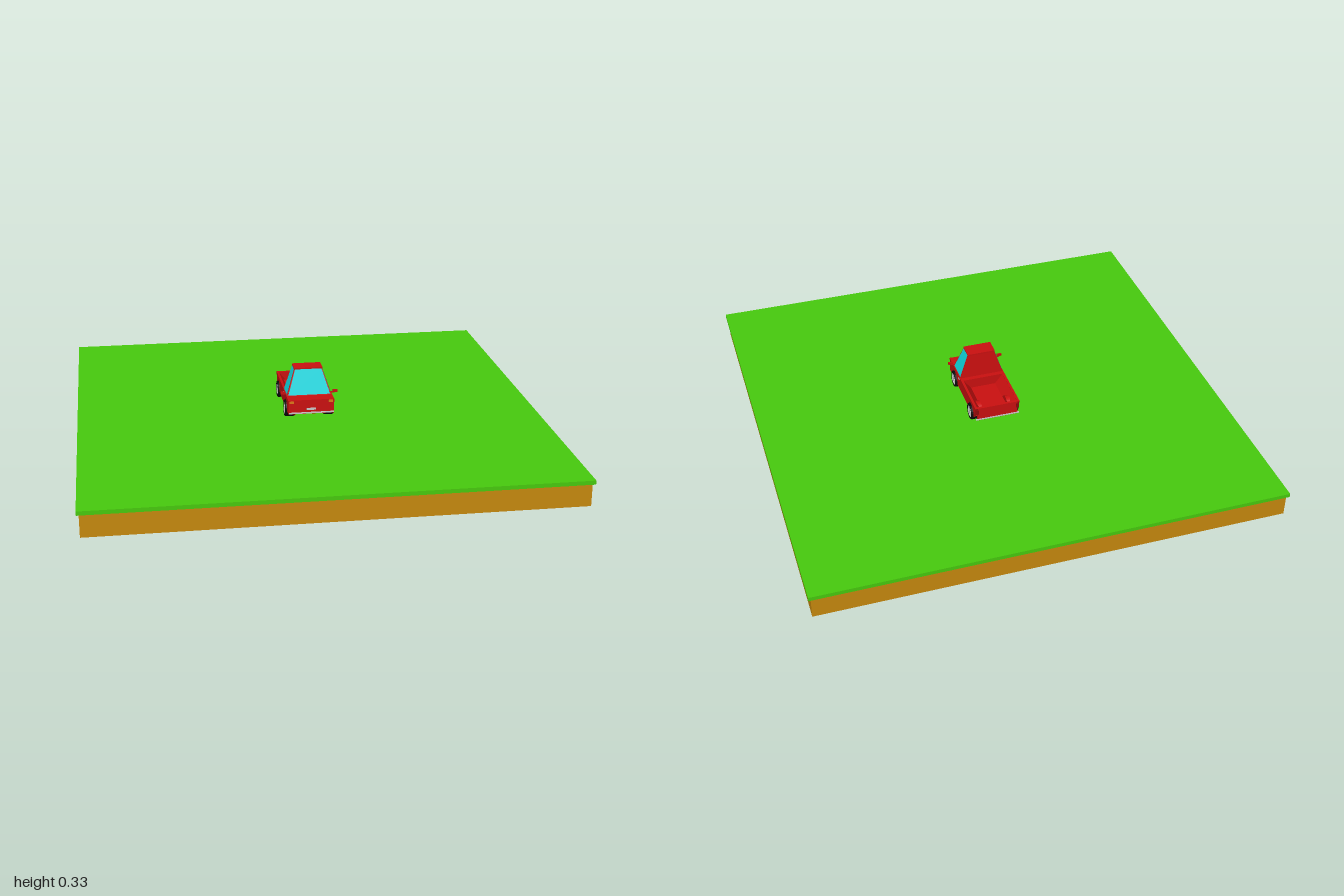
import * as THREE from 'three';

const mat = (color, side = THREE.FrontSide) =>
  new THREE.MeshStandardMaterial({ color, side, flatShading: true });

export function createModel() {
  const model = new THREE.Group();
  const red = mat(0xcc1010), redThin = mat(0xcc1010, THREE.DoubleSide);
  const glass = mat(0x10d8e0, THREE.DoubleSide);
  const black = mat(0x0a0a0a), grey = mat(0xcccccc), orange = mat(0xe07818);
  const lampRed = mat(0x900808);

  const add = (name, geometry, material, parent = model) => {
    const mesh = new THREE.Mesh(geometry, material);
    mesh.name = name;
    parent.add(mesh);
    return mesh;
  };
  const box = (name, w, h, d, x, y, z, material, parent = model) => {
    const mesh = add(name, new THREE.BoxGeometry(w, h, d), material, parent);
    mesh.position.set(x, y, z);
    return mesh;
  };
  // four-cornered panel
  const quad = (name, corners, material, parent) => {
    const geometry = new THREE.BufferGeometry();
    geometry.setAttribute('position', new THREE.Float32BufferAttribute(corners.flat(), 3));
    geometry.setIndex([0, 1, 2, 0, 2, 3]);
    geometry.computeVertexNormals();
    return add(name, geometry, material, parent);
  };

  // ground slab
  box('soil', 1.98, 0.095, 1.98, 0, 0.0475, 0, mat(0xc88a0e));
  box('grass', 2, 0.017, 2, 0, 0.1035, 0, mat(0x48cc0e));

  const truck = new THREE.Group();
  truck.name = 'pickupTruck';
  model.add(truck);

  const low = 0.147, high = 0.21, axleY = 0.15, axles = [0.12, -0.13];

  // body sides with wheel arches, drawn in (z, y)
  const side = new THREE.Shape();
  const arch = 0.041, dip = Math.asin((low - axleY) / arch);
  side.moveTo(-0.2, low);
  for (const z of [...axles].reverse()) side.absarc(z, axleY, arch, Math.PI - dip, dip, true);
  side.lineTo(0.2, low);
  side.lineTo(0.2, high);
  side.lineTo(-0.2, high);
  for (const s of [-1, 1]) {
    const panel = add('bodySide', new THREE.ExtrudeGeometry(side, { depth: 0.01, bevelEnabled: false, curveSegments: 12 }), red, truck);
    panel.rotation.y = -Math.PI / 2;
    panel.scale.z = 1;
    // the shape's x axis becomes +z, the depth runs towards -x
    panel.position.x = s > 0 ? 0.1 : -0.09;
  }

  // front block, cab floor, bed floor and end walls
  box('frontBlock', 0.11, high - low, 0.185, 0, (low + high) / 2, 0.1065, red, truck);
  box('hood', 0.18, 0.012, 0.185, 0, high - 0.006, 0.1065, red, truck);
  box('nose', 0.18, high - low, 0.025, 0, (low + high) / 2, 0.1865, red, truck);
  box('bedFrontWall', 0.18, high - low, 0.014, 0, (low + high) / 2, 0.021, red, truck);
  box('bedFloor', 0.115, 0.012, 0.21, 0, 0.159, -0.09, red, truck);
  box('tailgate', 0.18, high - low, 0.012, 0, (low + high) / 2, -0.194, red, truck);

  for (const s of [-1, 1]) {
    // sloping bed lining and the wheel housing inside it
    quad('bedLining', [[s * 0.056, 0.165, -0.19], [s * 0.056, 0.165, 0.015], [s * 0.091, high, 0.015], [s * 0.091, high, -0.19]], redThin, truck);
    const well = add('wheelHousing', new THREE.CylinderGeometry(0.041, 0.041, 0.034, 20, 1, false, 0, Math.PI), redThin, truck);
    well.rotation.z = Math.PI / 2;
    well.position.set(s * 0.074, axleY, axles[1]);
  }

  // tapered cab
  const corner = (x, top, front) => top
    ? [x * 0.06, 0.322, front ? 0.106 : 0.042]
    : [x * 0.097, high, front ? 0.14 : 0.034];
  const cab = new THREE.BoxGeometry(2, 2, 2);
  const p = cab.attributes.position;
  for (let i = 0; i < p.count; i++) p.setXYZ(i, ...corner(p.getX(i), p.getY(i) > 0, p.getZ(i) > 0));
  cab.computeVertexNormals();
  add('cab', cab, red, truck);
  box('roof', 0.124, 0.007, 0.068, 0, 0.322, 0.074, red, truck);

  // windows: inset copies of the cab faces, lifted slightly
  const pane = (name, a, b, c, d, insetU, insetV) => {
    const [A, B, C, D] = [a, b, c, d].map((v) => new THREE.Vector3(...v));
    const n = B.clone().sub(A).cross(D.clone().sub(A)).normalize().multiplyScalar(0.0012);
    const at = (u, v) => A.clone().lerp(B, u).lerp(D.clone().lerp(C, u), v).add(n).toArray();
    const u = insetU, v = insetV;
    quad(name, [at(u, v), at(1 - u, v), at(1 - u, 1 - v), at(u, 1 - v)], glass, truck);
  };
  pane('windshield', corner(-1, false, true), corner(1, false, true), corner(1, true, true), corner(-1, true, true), 0.025, 0.02);
  pane('leftWindow', corner(1, false, true), corner(1, false, false), corner(1, true, false), corner(1, true, true), 0.06, 0.02);
  pane('rightWindow', corner(-1, false, false), corner(-1, false, true), corner(-1, true, true), corner(-1, true, false), 0.06, 0.02);

  // mirrors, handles and lamps
  for (const s of [-1, 1]) {
    box('mirrorArm', 0.024, 0.004, 0.005, s * 0.1, 0.219, 0.136, red, truck);
    box('mirror', 0.02, 0.011, 0.007, s * 0.114, 0.225, 0.138, red, truck);
    box('doorHandle', 0.003, 0.004, 0.014, s * 0.101, 0.199, 0.05, grey, truck);
    box('headlamp', 0.018, 0.01, 0.003, s * 0.085, 0.201, 0.2, orange, truck);
    box('tailLamp', 0.012, 0.022, 0.003, s * 0.09, 0.19, -0.2, lampRed, truck);
  }
  box('frontBumper', 0.196, 0.006, 0.004, 0, 0.152, 0.2, grey, truck);
  box('rearBumper', 0.196, 0.006, 0.004, 0, 0.152, -0.2, grey, truck);
  box('frontPlate', 0.04, 0.009, 0.003, 0, 0.169, 0.2, grey, truck);

  // wheels: hollow-faced tyre with a spoked rim
  const tyre = [[0.001, -0.022], [0.034, -0.022], [0.037, -0.018], [0.037, 0.018], [0.034, 0.022], [0.027, 0.022], [0.025, 0.014], [0.001, 0.014]]
    .map(([r, y]) => new THREE.Vector2(r, y));
  for (const s of [-1, 1]) for (const z of axles) {
    const wheel = new THREE.Group();
    wheel.name = 'wheel';
    wheel.position.set(s * 0.085, axleY, z);
    wheel.rotation.z = -s * Math.PI / 2;
    truck.add(wheel);
    add('tyre', new THREE.LatheGeometry(tyre, 24), mat(0x0a0a0a, THREE.DoubleSide), wheel);
    const rim = add('rim', new THREE.TorusGeometry(0.0255, 0.002, 6, 24), grey, wheel);
    rim.rotation.x = Math.PI / 2;
    rim.position.y = 0.019;
    add('hub', new THREE.CylinderGeometry(0.006, 0.006, 0.006, 12), grey, wheel).position.y = 0.017;
    for (let i = 0; i < 5; i++) {
      const a = i * Math.PI * 2 / 5;
      const spoke = box('spoke', 0.024, 0.004, 0.006, Math.cos(a) * 0.014, 0.017, -Math.sin(a) * 0.014, grey, wheel);
      spoke.rotation.y = a;
    }
  }
  for (const z of axles) {
    const axle = add('axle', new THREE.CylinderGeometry(0.005, 0.005, 0.13, 8), black, truck);
    axle.rotation.z = Math.PI / 2;
    axle.position.set(0, axleY, z);
  }
  return model;
}
